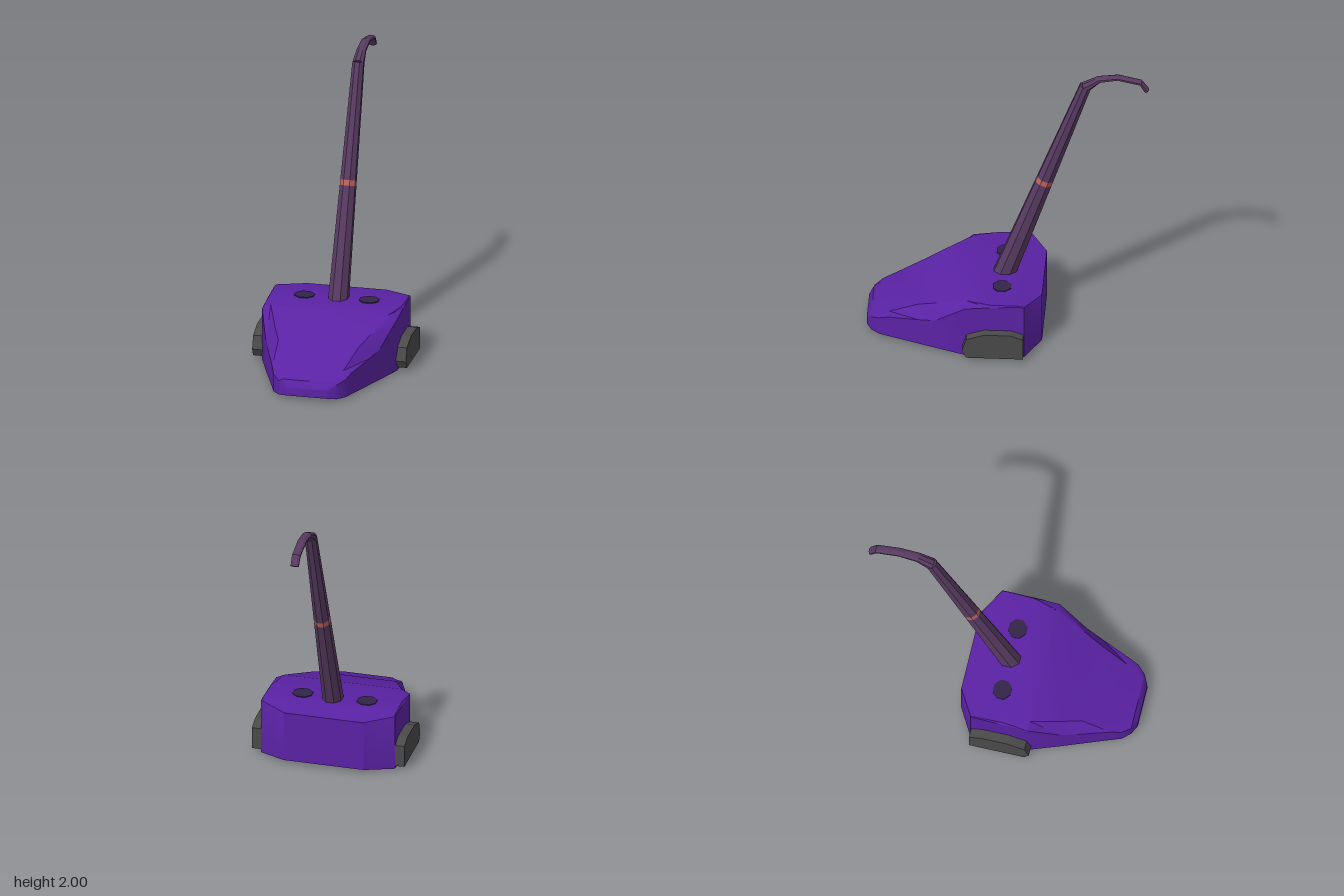
import * as THREE from 'three';
import { toCreasedNormals } from 'three/addons/utils/BufferGeometryUtils.js';

const mat = (name, color) => {
  const m = new THREE.MeshStandardMaterial({ color });
  m.name = name;
  return m;
};

// Skin a list of equal-length rings (counterclockwise about the path) and cap both ends
function loft(rings, crease) {
  const n = rings[0].length;
  const pos = [];
  const tri = (a, b, c) => pos.push(...a, ...b, ...c);
  for (let i = 0; i < rings.length - 1; i++) {
    const p = rings[i], q = rings[i + 1];
    for (let j = 0; j < n; j++) {
      const k = (j + 1) % n;
      tri(p[j], p[k], q[k]);
      tri(p[j], q[k], q[j]);
    }
  }
  const first = rings[0], last = rings[rings.length - 1];
  for (let j = 1; j < n - 1; j++) {
    tri(first[0], first[j + 1], first[j]);
    tri(last[0], last[j], last[j + 1]);
  }
  const g = new THREE.BufferGeometry();
  g.setAttribute('position', new THREE.Float32BufferAttribute(pos, 3));
  return toCreasedNormals(g, crease);
}

// Eight-sided tube through [x, y, z, half width, half depth] stations in a plane of constant x
function tube(stations) {
  const rings = stations.map(([x, y, z, rx, rn], i) => {
    const a = stations[Math.max(0, i - 1)], b = stations[Math.min(stations.length - 1, i + 1)];
    const len = Math.hypot(b[1] - a[1], b[2] - a[2]);
    const dy = (b[1] - a[1]) / len, dz = (b[2] - a[2]) / len;
    return Array.from({ length: 8 }, (_, j) => {
      const t = (j + 0.5) * Math.PI / 4;
      const s = rn * Math.sin(t);
      return [x + rx * Math.cos(t), y + dz * s, z - dy * s];
    });
  });
  return loft(rings, 0.3);
}

export function createModel() {
  const purple = mat('body purple', 0x5a22a4);
  const plum = mat('handle plum', 0x573a60);
  const coral = mat('band coral', 0xb8625c);
  const grey = mat('wheel grey', 0x4a4a4a);
  const dark = mat('button dark', 0x33244a);

  const model = new THREE.Group();
  const add = (name, geometry, material) => {
    const mesh = new THREE.Mesh(geometry, material);
    mesh.name = name;
    model.add(mesh);
    return mesh;
  };

  // Wedge-shaped body: z, half width, bottom, shoulder height, top half width, top height
  const sections = [
    [-0.24, 0.28, 0.025, 0.38, 0.275, 0.385],
    [-0.13, 0.47, 0.005, 0.395, 0.465, 0.4],
    [-0.09, 0.47, 0, 0.4, 0.465, 0.407],
    [0.1, 0.47, 0, 0.39, 0.46, 0.405],
    [0.27, 0.47, 0.005, 0.375, 0.41, 0.403],
    [0.48, 0.395, 0.008, 0.225, 0.33, 0.325],
    [0.6, 0.35, 0.01, 0.2, 0.28, 0.28],
    [0.8, 0.275, 0.012, 0.165, 0.22, 0.178],
    [0.87, 0.25, 0.014, 0.14, 0.2, 0.15],
    [0.925, 0.2, 0.015, 0.115, 0.17, 0.13],
    [0.957, 0.14, 0.025, 0.075, 0.13, 0.085],
  ];
  const bodyRings = sections.map(([z, w, b, c, t, y]) => [
    [w, b, z], [w, c, z], [t, y, z], [-t, y, z], [-w, c, z], [-w, b, z],
  ]);
  add('body', loft(bodyRings, 0.5), purple);

  // Angular side wheels, drawn in (z, y) and extruded along x
  const profile = [[0.29, 0.08], [0.26, 0.17], [0.14, 0.21], [-0.04, 0.21],
    [-0.125, 0.18], [-0.125, 0.025], [0.26, 0.025]];
  const wheelShape = new THREE.Shape(profile.map(([z, y]) => new THREE.Vector2(-z, y)));
  for (const [name, x] of [['leftWheel', 0.42], ['rightWheel', -0.535]]) {
    const g = new THREE.ExtrudeGeometry(wheelShape, { depth: 0.115, bevelEnabled: false });
    g.rotateY(Math.PI / 2);
    add(name, g, grey).position.x = x;
  }

  // Round buttons on the top
  for (const [name, x] of [['leftButton', 0.22], ['rightButton', -0.23]]) {
    const g = new THREE.CylinderGeometry(0.072, 0.072, 0.009, 8);
    g.rotateY(Math.PI / 8);
    g.scale(1, 1, 0.92);
    add(name, g, dark).position.set(x, 0.407, 0.035);
  }

  // Tapered leaning handle, split where the band sits
  const at = (t) => [0.005 + 0.01 * t, 0.36 + 1.55 * t, 0.04 - 0.56 * t,
    0.072 - 0.03 * t, 0.08 - 0.038 * t];
  add('lowerHandle', tube([at(0), at(0.49)]), plum);
  add('handleBand', tube([at(0.49), at(0.513)]), coral);
  add('upperHandle', tube([at(0.513), at(1)]), plum);

  // Curved grip hooking backwards
  add('grip', tube([
    [0.015, 1.9, -0.517, 0.042, 0.038],
    [0.016, 1.965, -0.61, 0.034, 0.022],
    [0.016, 1.985, -0.74, 0.032, 0.016],
    [0.016, 1.95, -0.895, 0.031, 0.017],
    [0.016, 1.89, -0.937, 0.03, 0.018],
  ]), plum);

  return model;
}
